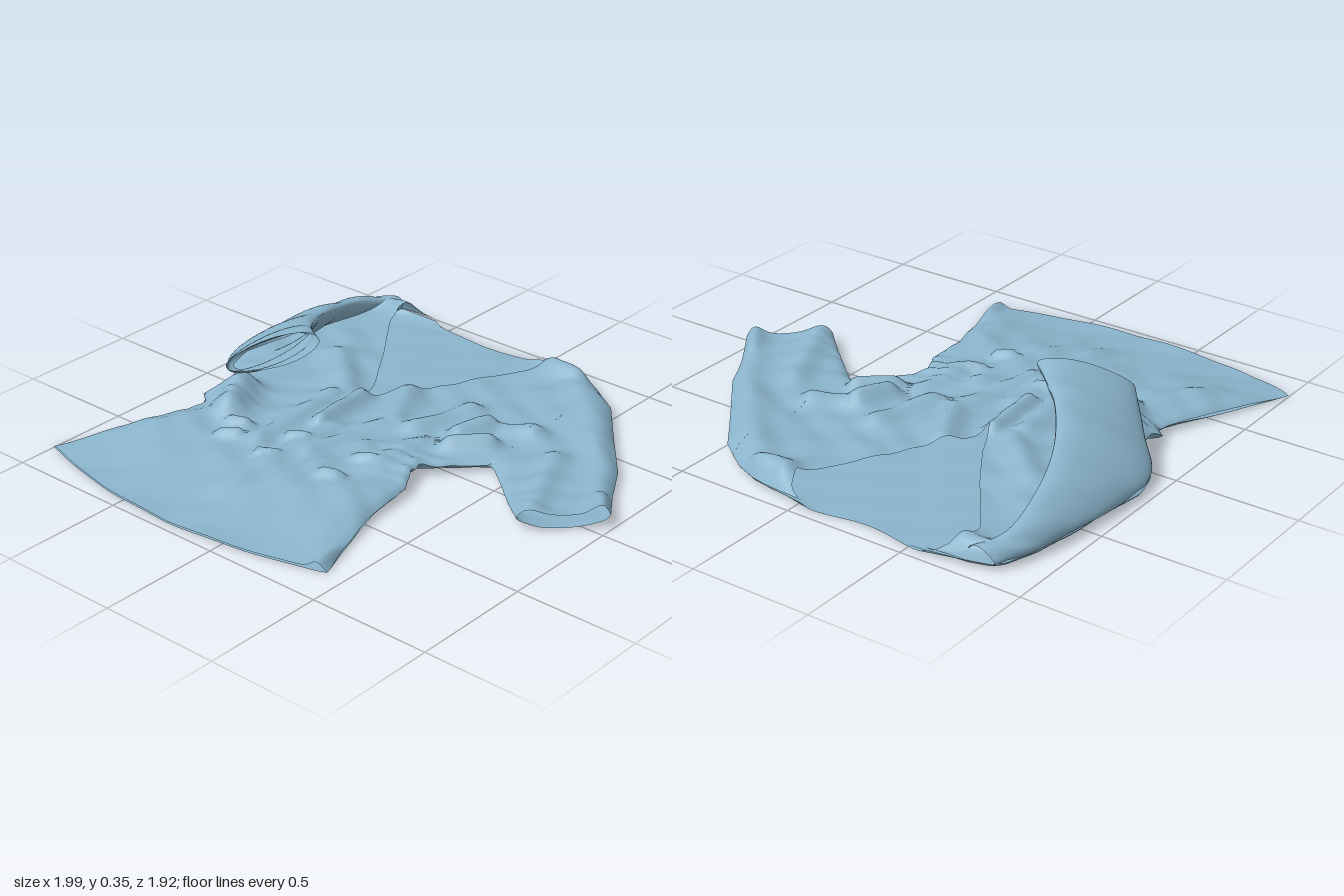
import * as THREE from 'three';

const lerp = THREE.MathUtils.lerp;
const smooth = THREE.MathUtils.smoothstep;

// Side profiles as [z, x] pairs, from shoulder to hem
const leftEdge = [[-0.965, -0.58], [-0.95, -0.74], [-0.92, -0.83], [-0.88, -0.865], [-0.75, -0.905], [-0.6, -0.93], [-0.4, -0.945], [-0.2, -0.975],
  [-0.08, -0.94], [-0.02, -0.86], [0.06, -0.82], [0.1, -0.79], [0.16, -0.79], [0.2, -0.82], [0.24, -0.77], [0.33, -0.79], [0.6, -0.91], [0.84, -1]];
const rightEdge = [[-0.965, -0.03], [-0.95, 0.08], [-0.925, 0.22], [-0.885, 0.32], [-0.83, 0.4], [-0.1, 0.4], [-0.04, 0.34], [0.02, 0.29],
  [0.1, 0.22], [0.16, 0.23], [0.25, 0.28], [0.45, 0.3], [0.65, 0.36], [0.84, 0.42]];
const neckLeft = [[-0.965, -0.61], [-0.93, -0.67], [-0.86, -0.7], [-0.78, -0.68], [-0.5, -0.48], [-0.3, -0.35], [-0.17, -0.29], [0.84, -0.29]];
const neckRight = [[-0.965, -0.02], [-0.93, 0.04], [-0.85, 0.08], [-0.65, -0.03], [-0.4, -0.16], [-0.28, -0.25], [-0.17, -0.29], [0.84, -0.29]];
// Flat sleeve outline as [x, z]
const sleeveOuter = [[0.4, -0.83], [0.47, -0.78], [0.62, -0.59], [0.8, -0.37], [0.89, -0.21], [0.99, -0.06]];
const sleeveInner = [[0.4, -0.1], [0.44, -0.08], [0.5, -0.03], [0.58, 0.04], [0.66, 0.11], [0.74, 0.18]];

function sample(table, z) {
  if (z <= table[0][0]) return table[0][1];
  for (let i = 1; i < table.length; i++) {
    const [a, b] = [table[i - 1], table[i]];
    if (z <= b[0]) return lerp(a[1], b[1], (z - a[0]) / (b[0] - a[0]));
  }
  return table.at(-1)[1];
}

function along(points, t) {
  const f = Math.min(t * (points.length - 1), points.length - 1.0001), i = Math.floor(f);
  return [lerp(points[i][0], points[i + 1][0], f - i), lerp(points[i][1], points[i + 1][1], f - i)];
}

function segmentDistance(x, z, x1, z1, x2, z2) {
  const dx = x2 - x1, dz = z2 - z1;
  const t = THREE.MathUtils.clamp(((x - x1) * dx + (z - z1) * dz) / (dx * dx + dz * dz), 0, 1);
  return Math.hypot(x - x1 - t * dx, z - z1 - t * dz);
}

// Closed seams where front and back cloth meet
const swap = ([z, x]) => [x, z];
const seams = [
  leftEdge.map(swap),
  [...rightEdge.slice(0, 4).map(swap), ...sleeveOuter],
  [...sleeveInner.slice().reverse(), ...rightEdge.slice(6).map(swap)],
];
function seamDistance(x, z) {
  let d = 9;
  for (const s of seams)
    for (let i = 1; i < s.length; i++) d = Math.min(d, segmentDistance(x, z, ...s[i - 1], ...s[i]));
  return d;
}

// Cloth folds: x1, z1, x2, z2, width, height
const folds = [
  [-0.3, -0.16, -0.28, 0.1, 0.04, 0.045], [-0.18, -0.32, -0.08, -0.1, 0.05, 0.035],
  [-0.08, -0.1, -0.16, 0.3, 0.05, 0.025], [0.1, -0.36, 0.03, -0.1, 0.05, 0.035],
  [0.2, -0.15, 0.25, -0.28, 0.05, 0.065], [0.25, -0.28, 0.4, -0.36, 0.05, 0.04],
  [0.22, -0.08, 0.33, -0.18, 0.04, 0.05], [-0.62, -0.4, -0.4, -0.18, 0.06, 0.03],
  [-0.4, -0.1, -0.37, 0.35, 0.05, 0.03], [-0.22, 0.1, -0.23, 0.7, 0.05, 0.02],
  [-0.02, 0.15, -0.12, 0.7, 0.05, 0.025], [0.12, -0.05, 0.1, 0.2, 0.05, 0.025],
  [0.15, 0.4, 0.26, 0.72, 0.07, 0.02], [-0.7, 0.1, -0.62, 0.26, 0.07, 0.075],
  [-0.65, 0.28, -0.78, 0.65, 0.06, 0.03], [0.12, -0.87, 0.24, -0.87, 0.06, 0.05],
  [-0.8, -0.89, -0.7, -0.9, 0.06, 0.05], [0.28, -0.82, 0.6, -0.5, 0.07, 0.03],
  [0.6, -0.5, 0.85, -0.2, 0.06, 0.02], [0.58, -0.25, 0.75, 0.1, 0.05, 0.025],
  [0.9, -0.14, 0.97, -0.05, 0.05, 0.035],
];
// Small crumples in two rows at the waist
for (const [x, z] of [[-0.52, 0.31], [-0.26, 0.25], [0.05, 0.22], [-0.48, 0.4], [-0.26, 0.42], [0.03, 0.39]])
  folds.push([x - 0.03, z + 0.015, x + 0.03, z - 0.015, 0.025, 0.035]);

// Cloth on the ground curls up at the seams, most of all at the gathered waist
function backHeight(x, z) {
  const d = seamDistance(x, z);
  const waist = Math.exp(-(((z - 0.14) / 0.13) ** 2)) * (x < 0.45 ? 1 : 0.3);
  const curl = (0.024 + 0.02 * waist) * Math.exp(-d / (0.015 + 0.03 * waist)) * (1 - 0.9 * smooth(z, 0.4, 0.8));
  const gather = 0.008 * waist * Math.exp(-d / 0.12) * (1 + Math.sin(z * 90 + x * 25));
  const cuff = 0.025 * Math.exp(-((x - 1) ** 2 + (z + 0.06) ** 2) / 0.012)
    + 0.02 * Math.exp(-((x - 0.75) ** 2 + (z - 0.18) ** 2) / 0.006);
  return 0.013 + curl + gather + cuff + 0.003 * Math.sin(x * 17 + z * 9) * Math.sin(z * 21);
}

function frontHeight(x, z) {
  const edge = 1 - Math.exp(-seamDistance(x, z) / 0.02);
  let fold = 0;
  for (const [x1, z1, x2, z2, w, k] of folds)
    fold = Math.max(fold, k * Math.exp(-((segmentDistance(x, z, x1, z1, x2, z2) / w) ** 2)));
  const ripple = 0.006 * Math.sin(x * 23 + 3 * Math.sin(z * 7)) * Math.sin(z * 19 + x * 6);
  const corner = 0.04 * Math.exp(-(((x - 0.38) / 0.03) ** 2) - ((z - 0.8) / 0.1) ** 2);
  const taper = 1 - 0.85 * smooth(z, 0.45, 0.93);
  return backHeight(x, z) + ((0.052 + ripple + fold) * taper + corner) * edge;
}

// Grid surface; place(u, v) returns [x, y, z]
function sheet(name, nu, nv, place, material) {
  const pos = [], idx = [];
  for (let j = 0; j <= nv; j++)
    for (let i = 0; i <= nu; i++) pos.push(...place(i / nu, j / nv));
  for (let j = 0; j < nv; j++)
    for (let i = 0; i < nu; i++) {
      const a = j * (nu + 1) + i, b = a + nu + 1;
      idx.push(a, b, a + 1, a + 1, b, b + 1);
    }
  const g = new THREE.BufferGeometry();
  g.setAttribute('position', new THREE.Float32BufferAttribute(pos, 3));
  g.setIndex(idx);
  g.computeVertexNormals();
  const mesh = new THREE.Mesh(g, material);
  mesh.name = name;
  return mesh;
}

// Packs grid lines closer together near both seams
const crowd = (t) => t - (0.8 * Math.sin(2 * Math.PI * t)) / (2 * Math.PI);

// Torso panel between two side profiles, with a curved hem and a dipped back neck
function panel(from, to, height) {
  return (u, v) => {
    const row = lerp(-0.965, 0.84, v);
    const x = lerp(sample(from, row), sample(to, row), crowd(u));
    let z = row + 0.12 * (1 - ((x + 0.29) / 0.71) ** 2) * smooth(row, 0.3, 0.84);
    z += 0.04 * Math.exp(-(((x + 0.29) / 0.2) ** 2)) * (1 - smooth(row, -0.965, -0.7));
    return [x, height(x, z), z];
  };
}

function flatSleeve(height) {
  return (u, v) => {
    const [a, b] = [along(sleeveOuter, u), along(sleeveInner, u)];
    const x = lerp(a[0], b[0], crowd(v)), z = lerp(a[1], b[1], crowd(v));
    return [x, height(x, z), z];
  };
}

// Raised sleeve: inner edge, outer edge and half thickness along the arm
const curve = (pts) => new THREE.CatmullRomCurve3(pts.map((p) => new THREE.Vector3(...p)));
const armInner = curve([[-0.74, 0.08, -0.93], [-0.81, 0.11, -0.82], [-0.785, 0.17, -0.58], [-0.71, 0.225, -0.37],
  [-0.59, 0.28, -0.19], [-0.5, 0.31, -0.11], [-0.41, 0.335, -0.04]]);
const armOuter = curve([[-0.84, 0.04, -0.92], [-0.895, 0.04, -0.78], [-0.93, 0.045, -0.6], [-0.96, 0.04, -0.3],
  [-0.94, 0.05, -0.08], [-0.82, 0.115, 0.06], [-0.69, 0.215, 0.2]]);
function raisedSleeve(u, v) {
  const a = armInner.getPoint(v), b = armOuter.getPoint(v);
  const mid = a.clone().add(b).multiplyScalar(0.5);
  const half = a.clone().sub(b).multiplyScalar(0.5);
  const up = new THREE.Vector3(-0.2, 1, -0.2).normalize();
  up.addScaledVector(half, -up.dot(half) / half.lengthSq()).normalize();
  const t = u * Math.PI * 2;
  const thick = lerp(0.03, 0.055, smooth(v, 0, 0.75)) + 0.006 * Math.sin(v * 32 + 2 * Math.cos(t));
  mid.addScaledVector(half, Math.cos(t)).addScaledVector(up, thick * Math.sin(t));
  return [mid.x, Math.max(mid.y, 0.013), mid.z];
}

export function createModel() {
  const group = new THREE.Group();
  group.name = 'garment';
  const cloth = new THREE.MeshStandardMaterial({ color: 0x8ab4cc, side: THREE.DoubleSide });
  group.add(
    sheet('backPanel', 70, 110, panel(leftEdge, rightEdge, backHeight), cloth),
    sheet('rightFrontPanel', 60, 120, panel(leftEdge, neckLeft, frontHeight), cloth),
    sheet('leftFrontPanel', 60, 120, panel(neckRight, rightEdge, frontHeight), cloth),
    sheet('leftSleeveBack', 30, 36, flatSleeve(backHeight), cloth),
    sheet('leftSleeveFront', 45, 60, flatSleeve(frontHeight), cloth),
    sheet('rightSleeve', 36, 50, raisedSleeve, cloth),
  );
  return group;
}
